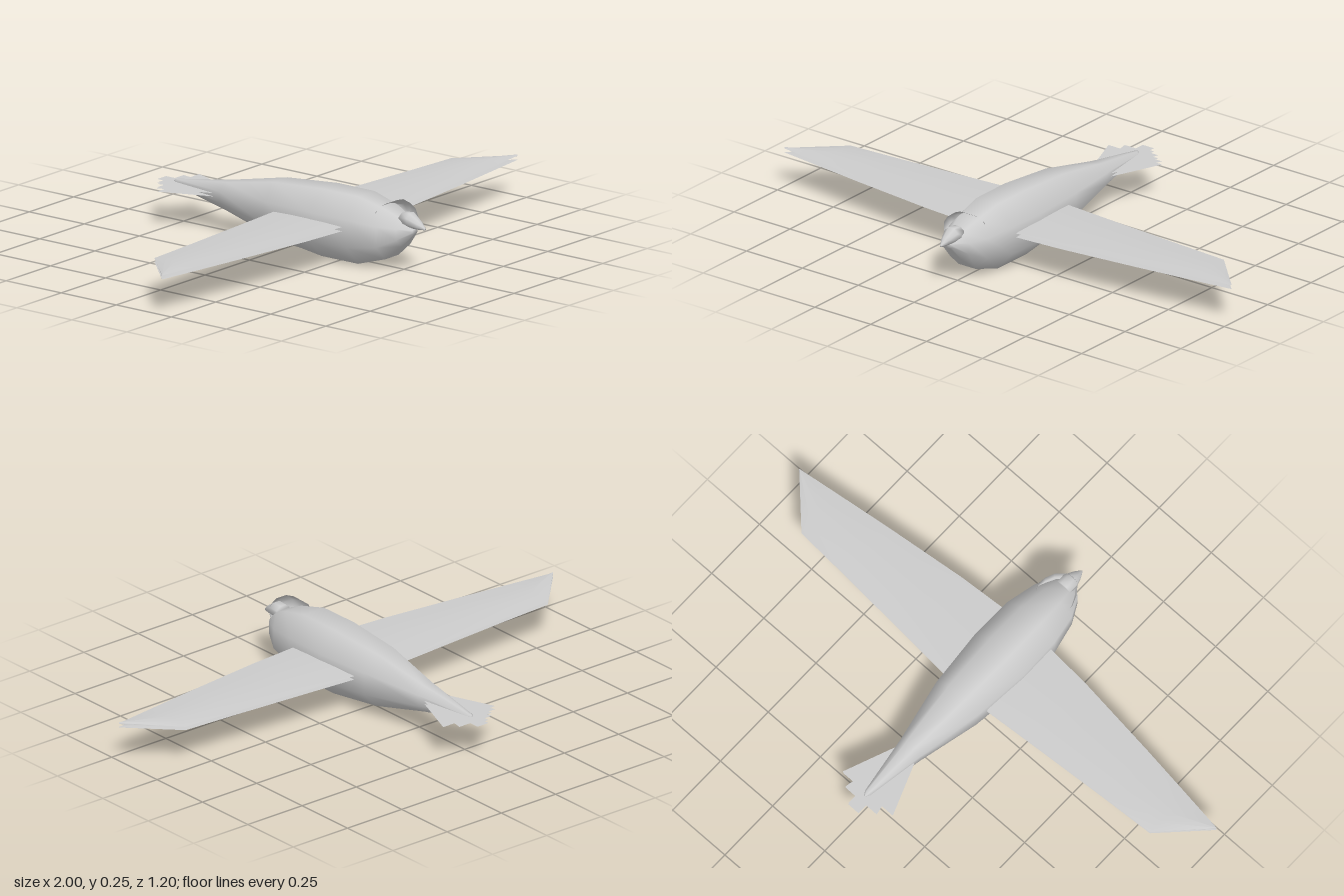
import * as THREE from 'three';

const skin = new THREE.MeshStandardMaterial({ color: 0xcccccc });
const sheet = new THREE.MeshStandardMaterial({ color: 0xcccccc, side: THREE.DoubleSide });

// Smooth eight-sided loft along z; each station is [z, yBottom, yTop, halfWidth], front to back
function loft(name, stations, sides = 8) {
  const pos = [], idx = [];
  const k = 1 / Math.cos(Math.PI / sides);
  for (const [z, y0, y1, w] of stations) {
    for (let i = 0; i < sides; i++) {
      const a = ((i + 0.5) / sides) * Math.PI * 2;
      pos.push(Math.cos(a) * w * k, (y0 + y1) / 2 + (Math.sin(a) * k * (y1 - y0)) / 2, z);
    }
  }
  const last = stations.length - 1;
  for (let s = 0; s < last; s++) {
    for (let i = 0; i < sides; i++) {
      const a = s * sides + i, b = s * sides + ((i + 1) % sides);
      idx.push(a, a + sides, b, b, a + sides, b + sides);
    }
  }
  // Caps at both ends
  for (let i = 1; i < sides - 1; i++) {
    idx.push(0, i, i + 1);
    idx.push(last * sides, last * sides + i + 1, last * sides + i);
  }
  const geo = new THREE.BufferGeometry();
  geo.setAttribute('position', new THREE.Float32BufferAttribute(pos, 3));
  geo.setIndex(idx);
  geo.computeVertexNormals();
  const mesh = new THREE.Mesh(geo, skin);
  mesh.name = name;
  return mesh;
}

// Thin wing surface from ribs [x, zLeading, zTrailing], with a slight camber
function wingSheet(name, ribs, side, y, camber) {
  const steps = 4, pos = [], idx = [];
  for (const [x, lead, trail] of ribs) {
    for (let i = 0; i <= steps; i++) {
      const t = i / steps;
      pos.push(side * x, y + camber * (Math.sin(Math.PI * t) - 0.5 * t), lead + (trail - lead) * t);
    }
  }
  for (let r = 0; r < ribs.length - 1; r++) {
    for (let i = 0; i < steps; i++) {
      const a = r * (steps + 1) + i, b = a + steps + 1;
      if (side > 0) idx.push(a, b, a + 1, a + 1, b, b + 1);
      else idx.push(a, a + 1, b, a + 1, b + 1, b);
    }
  }
  const geo = new THREE.BufferGeometry();
  geo.setAttribute('position', new THREE.Float32BufferAttribute(pos, 3));
  geo.setIndex(idx);
  geo.computeVertexNormals();
  const mesh = new THREE.Mesh(geo, sheet);
  mesh.name = name;
  return mesh;
}

// Flat stepped tail fan
function tailSheet(name, y) {
  const half = [[0.04, -0.32], [0.12, -0.525], [0.068, -0.525], [0.075, -0.56], [0.025, -0.56], [0.025, -0.6]];
  const outline = [...half, ...half.map(([x, z]) => [-x, z]).reverse()];
  const geo = new THREE.ShapeGeometry(new THREE.Shape(outline.map(([x, z]) => new THREE.Vector2(x, -z))));
  geo.rotateX(-Math.PI / 2);
  const mesh = new THREE.Mesh(geo, sheet);
  mesh.name = name;
  mesh.position.y = y;
  return mesh;
}

export function createModel() {
  const bird = new THREE.Group();
  bird.name = 'bird';

  // Body, tapering to the tail
  bird.add(loft('body', [
    [0.55, 0.14, 0.16, 0.015],
    [0.51, 0.09, 0.19, 0.058],
    [0.445, 0.035, 0.218, 0.09],
    [0.33, 0, 0.247, 0.113],
    [0.165, 0, 0.247, 0.116],
    [-0.06, 0.027, 0.23, 0.096],
    [-0.3, 0.083, 0.183, 0.048],
    [-0.525, 0.126, 0.15, 0.013],
    [-0.54, 0.138, 0.146, 0.004],
  ]));

  // Head and beak
  bird.add(loft('head', [
    [0.42, 0.17, 0.225, 0.06],
    [0.445, 0.155, 0.238, 0.07],
    [0.475, 0.148, 0.247, 0.066],
    [0.51, 0.152, 0.241, 0.052],
    [0.545, 0.158, 0.21, 0.026],
  ]));
  bird.add(loft('beak', [
    [0.597, 0.16, 0.167, 0.003],
    [0.572, 0.159, 0.189, 0.016],
    [0.535, 0.16, 0.213, 0.03],
    [0.5, 0.165, 0.21, 0.03],
  ].map(([z, a, b, w]) => [z, a, b, w])));

  // Wings: an upper and a lower layer on each side
  const ribs = [
    [0.05, 0.315, -0.015], [0.3, 0.297, 0.004], [0.62, 0.26, 0.027],
    [0.835, 0.232, 0.04], [1, 0.21, 0.208],
  ];
  for (const [side, label] of [[1, 'left'], [-1, 'right']]) {
    const wing = new THREE.Group();
    wing.name = label + 'Wing';
    wing.add(wingSheet('upperFeathers', ribs, side, 0.146, 0.006));
    wing.add(wingSheet('lowerFeathers', ribs, side, 0.131, 0.002));
    bird.add(wing);
  }

  // Tail feathers in two layers
  const tail = new THREE.Group();
  tail.name = 'tail';
  tail.add(tailSheet('upperTailFeathers', 0.142), tailSheet('lowerTailFeathers', 0.13));
  bird.add(tail);

  return bird;
}
